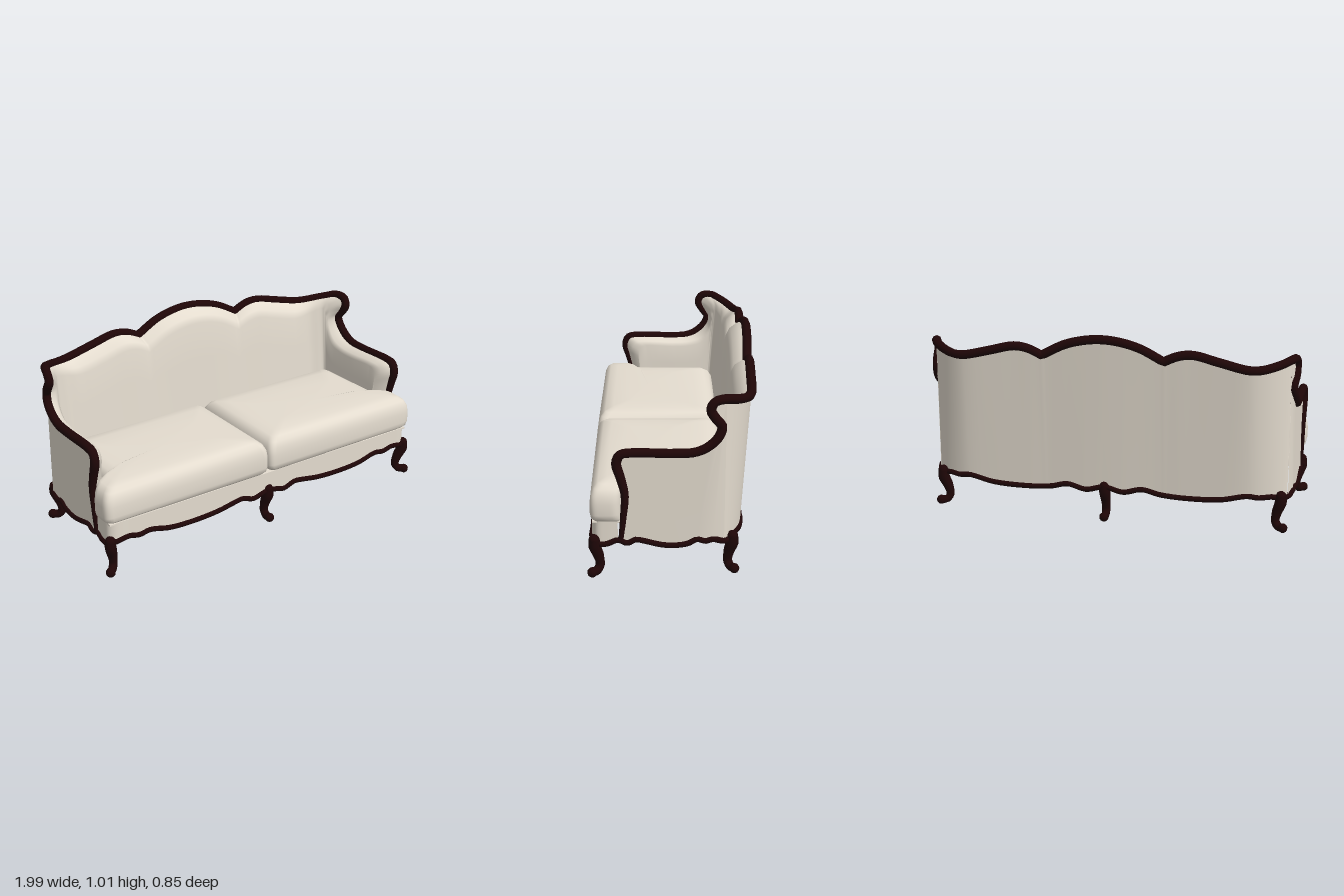
import * as THREE from 'three';

const fabric = new THREE.MeshStandardMaterial({ color: 0xe4dccf, side: THREE.DoubleSide });
fabric.name = 'cream fabric';
const wood = new THREE.MeshStandardMaterial({ color: 0x1f0607 });
wood.name = 'dark wood';

const V = (x, y, z) => new THREE.Vector3(x, y, z);
const flip = p => V(-p.x, p.y, p.z);
const mirrored = pts => [...pts, ...pts.slice(0, -1).reverse().map(flip)];
const mix = THREE.MathUtils.lerp;

// Plan line of the sides: straight, then bending in towards the back corner
const sideX = z => 0.965 - 5 * Math.max(0, -z - 0.19) ** 2;

// Arm rail, foot of the front post to the back corner: y, z, then the padding edge x, y, z
const armRows = [
  [0.20, 0.25, 0.93, 0.20, 0.22], [0.32, 0.237, 0.89, 0.30, 0.19], [0.43, 0.23, 0.89, 0.42, 0.185],
  [0.52, 0.25, 0.89, 0.50, 0.19], [0.59, 0.268, 0.89, 0.56, 0.19], [0.633, 0.25, 0.89, 0.59, 0.17],
  [0.643, 0.20, 0.89, 0.60, 0.14], [0.64, 0, 0.885, 0.595, -0.02], [0.645, -0.10, 0.885, 0.60, -0.12],
  [0.67, -0.16, 0.885, 0.62, -0.19], [0.72, -0.212, 0.885, 0.68, -0.235], [0.77, -0.228, 0.885, 0.74, -0.25],
  [0.81, -0.20, 0.885, 0.78, -0.255], [0.855, -0.175, 0.885, 0.805, -0.26], [0.895, -0.195, 0.88, 0.82, -0.265],
  [0.903, -0.25, 0.87, 0.825, -0.275],
];
// Crest rail, back corner to the centre: x, y, z
const crestRows = [
  [0.918, 0.892, -0.285], [0.87, 0.878, -0.325], [0.81, 0.866, -0.358], [0.75, 0.866, -0.376],
  [0.60, 0.90, -0.383], [0.47, 0.93, -0.385], [0.40, 0.923, -0.386], [0.34, 0.899, -0.385], [0.32, 0.889, -0.385],
  [0.30, 0.899, -0.385], [0.20, 0.95, -0.39], [0.10, 0.978, -0.393], [0, 0.988, -0.395],
];
const railHalf = [...armRows.map(r => V(sideX(r[1]), r[0], r[1])), ...crestRows.map(r => V(...r))];
const padHalf = [
  ...armRows.map(r => V(r[2], r[3], r[4])),
  ...crestRows.map(([x, y, z]) => V(x * 0.92, y - 0.075, Math.max(-0.3, z))),
];

// Lower wavy trim, front centre round the side to the back centre
const skirtFront = [
  [0, 0.19, 0.39], [0.05, 0.18, 0.39], [0.10, 0.168, 0.39], [0.17, 0.19, 0.39], [0.22, 0.185, 0.39],
  [0.32, 0.168, 0.39], [0.47, 0.16, 0.39], [0.62, 0.168, 0.39], [0.74, 0.195, 0.39], [0.80, 0.187, 0.39],
  [0.86, 0.20, 0.39], [0.93, 0.19, 0.388], [0.962, 0.175, 0.365], [0.967, 0.175, 0.32], [0.965, 0.195, 0.265],
].map(p => V(...p));
const skirtSide = [
  [0.178, 0.22], [0.197, 0.18], [0.19, 0.14], [0.17, 0.06], [0.165, 0], [0.175, -0.07],
  [0.197, -0.115], [0.187, -0.155], [0.197, -0.19], [0.18, -0.245],
].map(([y, z]) => V(sideX(z), y, z));
const skirtBack = [
  [0.918, 0.18, -0.27], [0.87, 0.19, -0.298], [0.81, 0.187, -0.321], [0.75, 0.195, -0.333], [0.62, 0.168, -0.338],
  [0.47, 0.16, -0.34], [0.30, 0.168, -0.34], [0.20, 0.19, -0.343], [0.10, 0.168, -0.345], [0, 0.19, -0.346],
].map(p => V(...p));

// Height of the trim along the back at a given x
function backSkirtY(x) {
  const a = Math.abs(x), pts = [skirtSide.at(-1), ...skirtBack];
  for (let i = 1; i < pts.length; i++) {
    const p = pts[i - 1], q = pts[i];
    if (a >= q.x) return mix(p.y, q.y, Math.min(1, (p.x - a) / (p.x - q.x)));
  }
  return 0.19;
}

// Smooth surface through rows of equal length
function loft(rows) {
  const n = rows[0].length, index = [];
  for (let i = 0; i < rows.length - 1; i++) {
    for (let j = 0; j < n - 1; j++) {
      const a = i * n + j, b = a + n;
      index.push(a, b, a + 1, b, b + 1, a + 1);
    }
  }
  const g = new THREE.BufferGeometry().setFromPoints(rows.flat());
  g.setIndex(index);
  g.computeVertexNormals();
  return g;
}

// Tube whose radius varies along its length
function taperedTube(curve, segments, sides, radiusAt, closed = false) {
  const g = new THREE.TubeGeometry(curve, segments, 1, sides, closed);
  const pos = g.attributes.position, p = V();
  for (let i = 0; i < pos.count; i++) {
    const t = Math.floor(i / (sides + 1)) / segments, c = curve.getPointAt(t);
    p.fromBufferAttribute(pos, i).sub(c).multiplyScalar(radiusAt(t)).add(c);
    pos.setXYZ(i, p.x, p.y, p.z);
  }
  return g;
}

// Closed plan outline with rounded corners
function roundedOutline(pts, r) {
  const s = new THREE.Shape(), v = pts.map(p => new THREE.Vector2(...p));
  v.forEach((c, i) => {
    const toward = q => c.clone().add(q.clone().sub(c).setLength(r));
    const a = toward(v[(i + v.length - 1) % v.length]), b = toward(v[(i + 1) % v.length]);
    if (i) s.lineTo(a.x, a.y); else s.moveTo(a.x, a.y);
    s.quadraticCurveTo(c.x, c.y, b.x, b.y);
  });
  s.closePath();
  return s.getPoints(6);
}

export function createModel() {
  const group = new THREE.Group();
  const add = (name, geo, mat, parent = group) => {
    const m = new THREE.Mesh(geo, mat);
    m.name = name;
    parent.add(m);
    return m;
  };

  const rail = new THREE.CatmullRomCurve3(mirrored(railHalf));
  const pad = new THREE.CatmullRomCurve3(mirrored(padHalf));
  const STEP = 4, N = (railHalf.length - 1) * 2 * STEP, corner = (armRows.length - 1) * STEP;
  const R = [], I = [];
  for (let i = 0; i <= N; i++) {
    R.push(rail.getPoint(i / N));
    I.push(pad.getPoint(i / N));
  }

  // Carved wooden frame
  add('carvedRail', taperedTube(rail, 260, 8, t => mix(0.012, 0.0235, Math.min(1, Math.min(t, 1 - t) / 0.08))), wood);
  const half = [...skirtFront, ...skirtSide, ...skirtBack];
  const ring = [...half, ...half.slice(1, -1).reverse().map(flip)];
  add('lowerTrim', taperedTube(new THREE.CatmullRomCurve3(ring, true), 300, 6, () => 0.015, true), wood);

  // Outer back, wrapping round both corners
  add('outerBack', loft(R.slice(corner, N - corner + 1).map(p => {
    const foot = V(p.x, backSkirtY(p.x), -0.245 + (p.z + 0.25) * 0.7);
    return [p, p.clone().lerp(foot, 0.5), foot];
  })), fabric);

  // Outer arm panels, following the bend at the back
  const outline = [...R.slice(0, corner + 1), ...[...skirtSide].reverse()].map(p => new THREE.Vector2(-p.z, p.y));
  for (const side of [1, -1]) {
    const g = new THREE.ShapeGeometry(new THREE.Shape(outline)).rotateY(Math.PI / 2);
    const pos = g.attributes.position;
    for (let i = 0; i < pos.count; i++) pos.setX(i, side * sideX(pos.getZ(i)));
    // turn the right panel to face outward
    if (side < 0) g.index.array.reverse();
    g.computeVertexNormals();
    add(side > 0 ? 'leftArmPanel' : 'rightArmPanel', g, fabric);
  }

  // Inner padding of the arms and back, rolled over below the rail
  add('innerPadding', loft(R.map((r, k) => {
    const p = I[k];
    const roll = (a, b) => V(mix(r.x, p.x, a), mix(r.y, p.y, b), mix(r.z, p.z, p.z > 0.1 ? b : a));
    const foot = V(Math.sign(p.x) * Math.min(Math.abs(p.x), 0.875), Math.min(p.y, 0.25), p.z * 0.84);
    return [r, roll(0.4, 0.16), roll(0.8, 0.52), p, p.clone().lerp(foot, 0.3), foot];
  })), fabric);

  // Seat base: wavy apron and the ledge on top of it
  const apron = new THREE.CatmullRomCurve3(mirrored([...skirtFront].reverse()));
  add('apron', loft(apron.getPoints(112).map(p => [p, V(p.x, 0.29, p.z)])), fabric);
  add('seatLedge', new THREE.BoxGeometry(1.925, 0.008, 0.14).translate(0, 0.286, 0.318), fabric);

  // Two crowned cushions, open below, that widen in front of the arms: inset and height of each ring
  const rings = [
    [0.022, 0.29], [0.006, 0.305], [0, 0.33], [0, 0.385], [0.006, 0.425],
    [0.022, 0.455], [0.048, 0.474], [0.1, 0.484], [0.2, 0.488],
  ];
  const plan = roundedOutline(
    [[0.878, -0.256], [0.001, -0.256], [0.001, 0.403], [0.987, 0.398], [0.987, 0.262], [0.89, 0.23]], 0.04);
  const cushionRing = (kx, kz, y, side) => plan.map(p => V(side * mix(0.49, p.x, kx), y, mix(0.13, p.y, kz)));
  for (const side of [1, -1]) {
    add(side > 0 ? 'leftCushion' : 'rightCushion', loft([
      ...rings.map(([d, y]) => cushionRing(1 - d / 0.49, 1 - d / 0.325, y, side)),
      cushionRing(0, 0, 0.489, side),
    ]), fabric);
  }

  // Curved legs with scrolled toes, each turned to face outward
  const legPath = new THREE.CatmullRomCurve3([
    V(0, 0.2, 0), V(0, 0.16, -0.001), V(0, 0.1, -0.025), V(0, 0.05, -0.034), V(0, 0.025, -0.014), V(0, 0.026, 0.018),
  ]);
  const radii = [0.027, 0.031, 0.028, 0.023, 0.022, 0.023];
  const legGeo = taperedTube(legPath, 20, 8, t => {
    const f = t * 5, i = Math.min(4, Math.floor(f));
    return mix(radii[i], radii[i + 1], f - i);
  });
  const kneeGeo = new THREE.SphereGeometry(0.028, 10, 8).translate(0, 0.193, 0);
  const toeGeo = new THREE.SphereGeometry(0.025, 10, 8).translate(0, 0.025, 0.018);
  const legs = [
    ['frontLeftLeg', 0.96, 0.378, 0.785], ['frontRightLeg', -0.96, 0.378, -0.785], ['frontCentreLeg', 0, 0.385, 0],
    ['backLeftLeg', 0.92, -0.287, 2.2], ['backRightLeg', -0.92, -0.287, -2.2], ['backCentreLeg', 0, -0.337, Math.PI],
  ];
  for (const [name, x, z, turn] of legs) {
    const leg = new THREE.Group();
    leg.name = name;
    leg.position.set(x, 0, z);
    leg.rotation.y = turn;
    add('shaft', legGeo, wood, leg);
    add('knee', kneeGeo, wood, leg);
    add('toe', toeGeo, wood, leg);
    group.add(leg);
  }
  return group;
}
